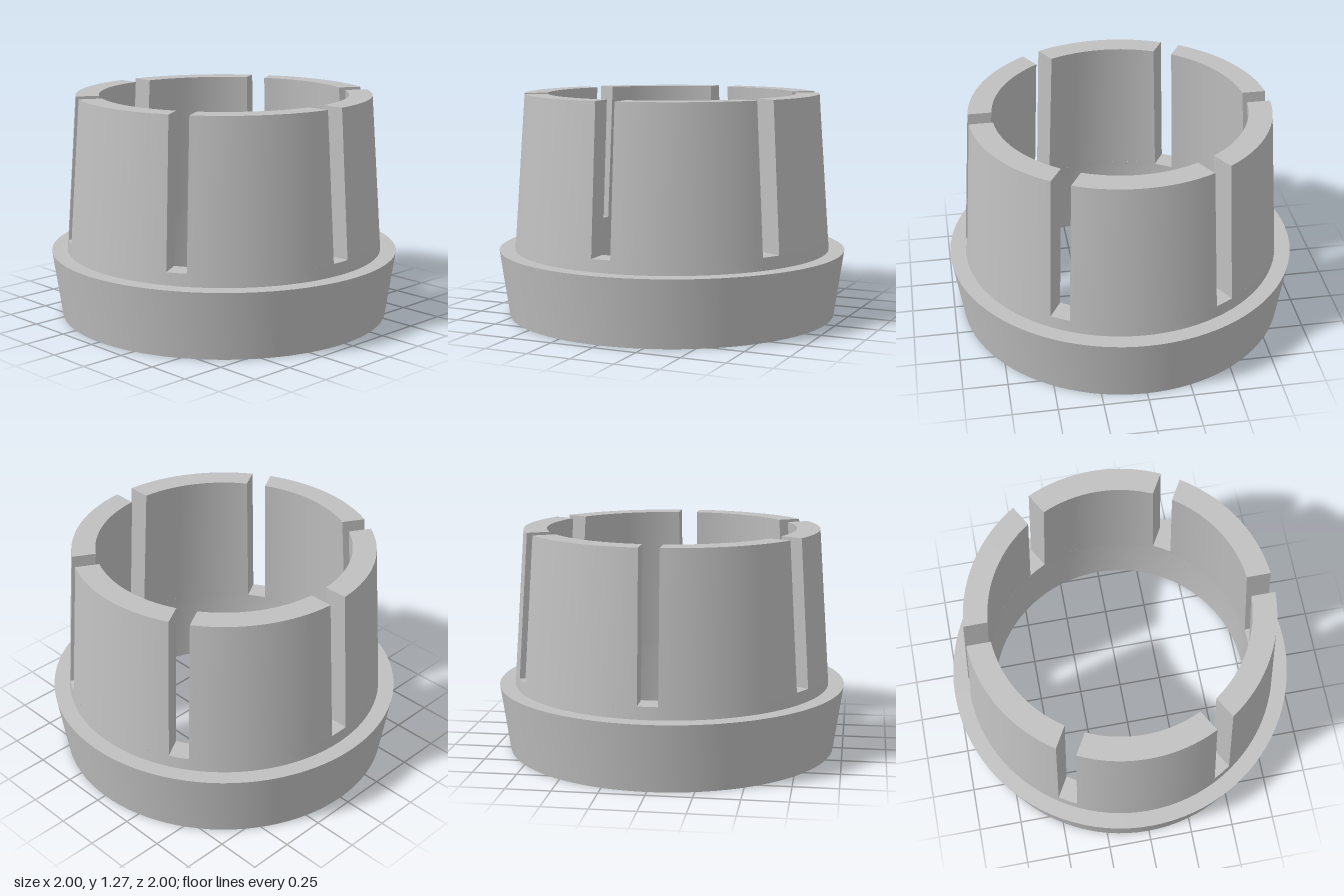
import * as THREE from 'three';
import { mergeGeometries, toCreasedNormals } from 'three/addons/utils/BufferGeometryUtils.js';

const SLOTS = 6;
const HALF_SLOT = 0.056;

// Radius/height corners of the tapered wall
const outerLow = [0.905, 0.45], outerTop = [0.845, 1.275];
const innerTop = [0.713, 1.275], innerLow = [0.774, 0.45];

const slotAngle = (r) => Math.asin(HALF_SLOT / r);
const fingerAngle = (r) => Math.PI / SLOTS - slotAngle(r);

// Point at the fraction t (-1 to 1) of an angular span
function at([r, y], t, span) {
  const a = t * span(r);
  return [r * Math.sin(a), y, r * Math.cos(a)];
}

function surface(points, index) {
  const g = new THREE.BufferGeometry();
  g.setAttribute('position', new THREE.Float32BufferAttribute(points.flat(), 3));
  g.setIndex(index);
  g.computeVertexNormals();
  return g;
}

// Curved strip between two corners, swept over the span
function strip(a, b, span, steps) {
  const points = [], index = [];
  for (let i = 0; i <= steps; i++) {
    const t = -1 + (2 * i) / steps;
    points.push(at(a, t, span), at(b, t, span));
    if (i < steps) {
      const k = i * 2;
      index.push(k, k + 2, k + 3, k, k + 3, k + 1);
    }
  }
  return surface(points, index);
}

// Flat slot wall at one end of a finger
function endWall(t) {
  const points = [outerLow, innerLow, innerTop, outerTop].map((c) => at(c, t, fingerAngle));
  return surface(points, t > 0 ? [0, 1, 2, 0, 2, 3] : [0, 2, 1, 0, 3, 2]);
}

export function createModel() {
  const group = new THREE.Group();
  const grey = new THREE.MeshStandardMaterial({ color: 0xc0c0c0 });
  grey.name = 'grey';

  // Base ring with flared collar, open at the top where the fingers begin
  const profile = [
    innerLow, [0.78, 0.38], [0.78, 0], [0.945, 0], [1, 0.38], [0.91, 0.38], outerLow,
  ].map(([r, y]) => new THREE.Vector2(r, y));
  const collar = new THREE.Mesh(toCreasedNormals(new THREE.LatheGeometry(profile, 96), 0.4), grey);
  collar.name = 'collar';
  group.add(collar);

  // Tapered fingers separated by parallel-sided slots
  const fingerGeometry = mergeGeometries([
    strip(outerLow, outerTop, fingerAngle, 16),
    strip(outerTop, innerTop, fingerAngle, 16),
    strip(innerTop, innerLow, fingerAngle, 16),
    endWall(1),
    endWall(-1),
  ]);
  const floorGeometry = strip(outerLow, innerLow, slotAngle, 2);
  for (let i = 0; i < SLOTS; i++) {
    const finger = new THREE.Mesh(fingerGeometry, grey);
    finger.name = 'finger';
    finger.rotation.y = ((i + 0.5) * 2 * Math.PI) / SLOTS;
    const floor = new THREE.Mesh(floorGeometry, grey);
    floor.name = 'slotFloor';
    floor.rotation.y = (i * 2 * Math.PI) / SLOTS;
    group.add(finger, floor);
  }
  return group;
}
